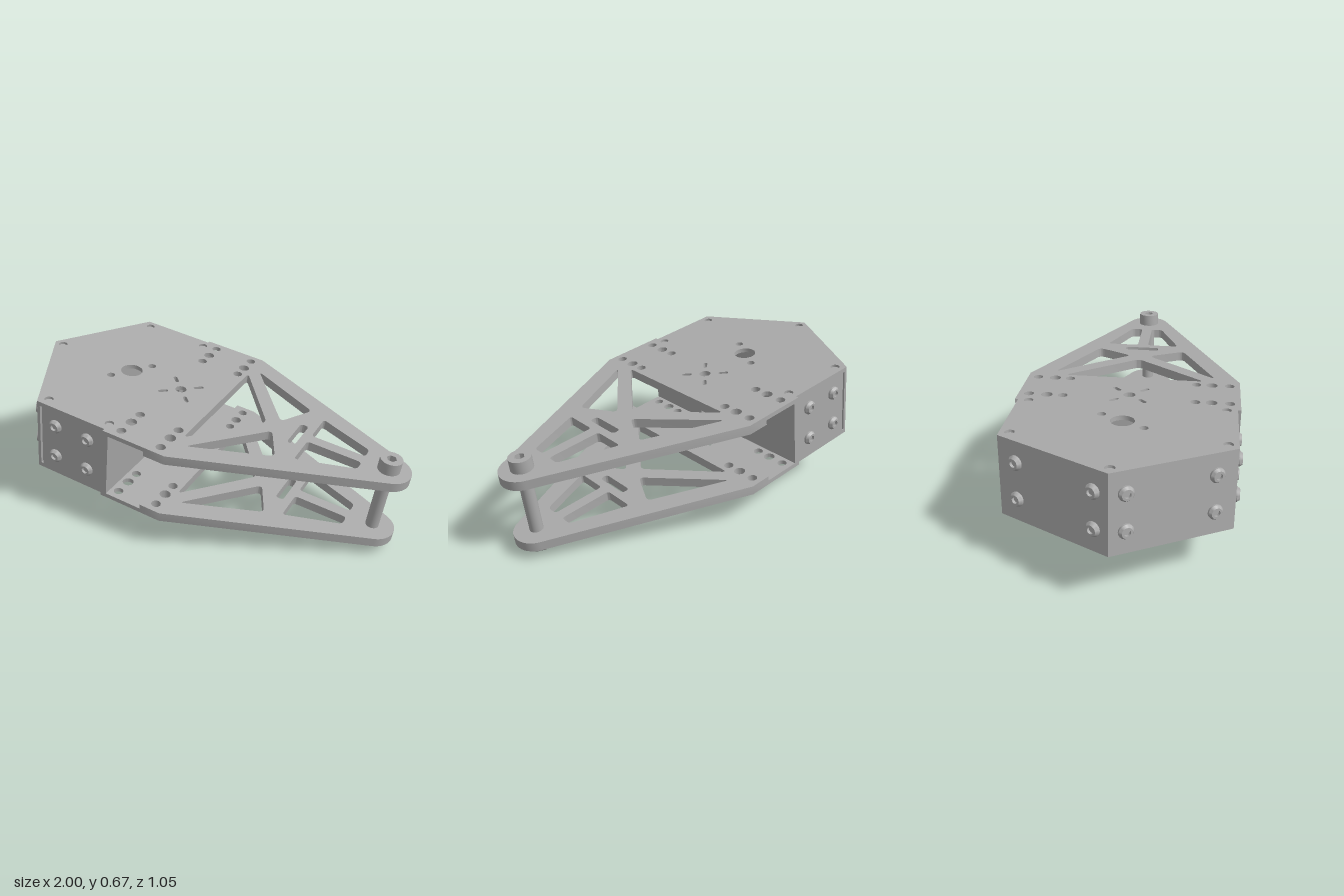
import * as THREE from 'three';
import { toCreasedNormals } from 'three/addons/utils/BufferGeometryUtils.js';

const H = 0.383;      // overall body height
const SKIN = 0.022;   // thin plate thickness
const ARM = 0.046;    // arm plate thickness
const STEP = -0.135;  // where the thin plate becomes the arm
const BACK = -1.0075, CORNER = -0.735, HALF = 0.505, WIDE = 0.52;
const TILT = -7 * Math.PI / 180;
const TIP = 0.852;

const shapeOf = pts => new THREE.Shape(pts.map(p => new THREE.Vector2(...p)));

function circle(x, y, r) {
  return new THREE.Path().absarc(x, y, r, 0, Math.PI * 2, true);
}

// polygon with rounded corners
function rounded(pts, r) {
  const path = new THREE.Path();
  const v = pts.map(p => new THREE.Vector2(...p));
  v.forEach((p, i) => {
    const toward = q => p.clone().add(q.clone().sub(p).setLength(r));
    const a = toward(v[(i + v.length - 1) % v.length]);
    const b = toward(v[(i + 1) % v.length]);
    if (i === 0) path.moveTo(a.x, a.y); else path.lineTo(a.x, a.y);
    path.quadraticCurveTo(p.x, p.y, b.x, b.y);
  });
  path.closePath();
  return path;
}

function extrude(shape, depth) {
  const g = new THREE.ExtrudeGeometry(shape, { depth, bevelEnabled: false, curveSegments: 10 });
  return toCreasedNormals(g, 0.6);
}

// plan outline (length, width) turned into a slab whose top is at the given height
function slab(shape, top, depth) {
  return extrude(shape, depth).rotateX(Math.PI / 2).translate(0, top, 0);
}

function bodyPlateShape() {
  const s = shapeOf([[BACK, 0], [CORNER, -HALF], [-0.355, -HALF], [-0.355, -WIDE], [STEP, -WIDE],
    [STEP, WIDE], [-0.355, WIDE], [-0.355, HALF], [CORNER, HALF]]);
  s.holes.push(circle(-0.53, 0, 0.055), circle(-0.47, -0.1, 0.02), circle(-0.59, 0.1, 0.02),
    circle(-0.24, 0, 0.028), circle(-0.96, 0, 0.022));
  for (const m of [-1, 1]) {
    s.holes.push(circle(-0.285, m * 0.47, 0.023), circle(-0.285, m * 0.385, 0.027),
      circle(-0.285, m * 0.31, 0.023), circle(-0.7, m * 0.46, 0.022), circle(-0.36, m * 0.455, 0.022));
    // slanted slots around the small centre hole
    for (const n of [-1, 1]) {
      const cx = -0.24 + n * 0.065, cz = m * 0.066;
      const a = 0.018, b = 0.007;
      s.holes.push(rounded([[-a, -b], [a, -b], [a, b], [-a, b]].map(([p, q]) => {
        const k = m * n;
        return [cx + (p - q * k), cz + (p * k + q)];
      }), 0.011));
    }
  }
  return s;
}

function armShape() {
  const r = 0.107, px = -0.027 - TIP;
  const ang = Math.atan2(WIDE, px) - Math.acos(r / Math.hypot(px, WIDE));
  const s = new THREE.Shape();
  s.moveTo(STEP, -WIDE);
  s.lineTo(-0.027, -WIDE);
  s.absarc(TIP, 0, r, -ang, ang, false);
  s.lineTo(-0.027, WIDE);
  s.lineTo(STEP, WIDE);
  // truss openings
  s.holes.push(rounded([[-0.03, -0.345], [0.235, 0], [-0.03, 0.345]], 0.03));
  s.holes.push(rounded([[0.38, -0.088], [0.42, -0.088], [0.42, 0.088], [0.38, 0.088]], 0.018));
  for (const m of [-1, 1]) {
    s.holes.push(rounded([[0.01, m * 0.4], [0.38, m * 0.225], [0.288, m * 0.05]], 0.03));
    s.holes.push(rounded([[0.46, m * 0.19], [0.73, m * 0.085], [0.73, m * 0.028], [0.46, m * 0.028]], 0.02));
    s.holes.push(circle(-0.075, m * 0.47, 0.023), circle(-0.075, m * 0.385, 0.027),
      circle(-0.075, m * 0.31, 0.023));
  }
  return s;
}

export function createModel() {
  const gray = new THREE.MeshStandardMaterial({ color: 0xaaaaaa });
  gray.name = 'machined gray';
  const model = new THREE.Group();
  model.name = 'bracket';
  const body = new THREE.Group();
  body.name = 'tiltedAssembly';
  body.rotation.z = TILT;
  body.position.y = 0.162;
  model.add(body);

  const add = (name, geo, parent = body) => {
    const m = new THREE.Mesh(geo, gray);
    m.name = name;
    parent.add(m);
    return m;
  };

  // upper and lower plates with their truss arms
  add('topPlate', slab(bodyPlateShape(), H, SKIN));
  add('bottomPlate', slab(bodyPlateShape(), SKIN, SKIN));
  add('topArm', slab(armShape(), H, ARM));
  add('bottomArm', slab(armShape(), ARM, ARM));

  // button head screw with a hexagonal socket
  const button = [[0.034, 0], [0.034, 0.009], [0.025, 0.021], [0.015, 0.021], [0.015, 0.008], [0, 0.008]];
  const screwGeo = toCreasedNormals(
    new THREE.LatheGeometry(button.map(p => new THREE.Vector2(...p)), 24), 0.5);
  const up = new THREE.Vector3(0, 1, 0);
  const slope = new THREE.Vector2(HALF, CORNER - BACK).normalize();

  const inner = H - 2 * SKIN;
  for (const m of [-1, 1]) {
    // hexagonal housing walls, with a narrow groove between panels
    add('backPanel', slab(shapeOf([[BACK, 0], [CORNER, m * HALF], [-0.72, m * HALF],
      [-0.72, m * 0.475], [BACK + 0.035, 0]]), H - SKIN, inner));
    add('sidePanel', slab(shapeOf([[-0.708, m * HALF], [-0.355, m * HALF], [-0.355, m * 0.475],
      [-0.708, m * 0.475]]), H - SKIN, inner));

    // panel screws
    for (const v of [0.108, 0.282]) {
      for (const u of [-0.628, -0.447]) {
        const s = add('sideScrew', screwGeo);
        s.position.set(u, v, m * HALF);
        s.quaternion.setFromUnitVectors(up, new THREE.Vector3(0, 0, m));
      }
      for (const t of [0.13, 0.83]) {
        const s = add('backScrew', screwGeo);
        s.position.set(BACK + t * (CORNER - BACK), v, m * HALF * t);
        s.quaternion.setFromUnitVectors(up, new THREE.Vector3(-slope.x, 0, m * slope.y));
      }
    }

    // flat front wall with a small window
    const w = shapeOf([[m * 0.15, SKIN], [m * WIDE, SKIN], [m * WIDE, H - SKIN], [m * 0.15, H - SKIN]]);
    w.holes.push(rounded([[m * 0.172, 0.147], [m * 0.238, 0.147], [m * 0.238, 0.236],
      [m * 0.172, 0.236]], 0.015));
    add('frontWall', extrude(w, 0.03).rotateY(Math.PI / 2).translate(-0.355, 0, 0));
  }

  // curved recess in the middle of the front wall
  const recess = new THREE.Shape();
  recess.moveTo(-0.325, -0.15);
  recess.bezierCurveTo(-0.375, -0.15, -0.39, -0.13, -0.39, -0.09);
  recess.lineTo(-0.39, 0.09);
  recess.bezierCurveTo(-0.39, 0.13, -0.375, 0.15, -0.325, 0.15);
  recess.lineTo(-0.325, 0.18);
  recess.lineTo(-0.355, 0.18);
  recess.lineTo(-0.42, 0.13);
  recess.lineTo(-0.42, -0.13);
  recess.lineTo(-0.355, -0.18);
  recess.lineTo(-0.325, -0.18);
  // stop short of the windows
  recess.curves.forEach(c => ['v1', 'v2'].forEach(k => {
    if (c.isLineCurve && Math.abs(c[k].y) === 0.18) c[k].y = Math.sign(c[k].y) * 0.165;
  }));
  add('frontRecess', slab(recess, H - SKIN, inner));

  // corner posts sunk into the plates
  for (const [u, z] of [[-0.96, 0], [-0.7, 0.46], [-0.7, -0.46], [-0.36, 0.455], [-0.36, -0.455]]) {
    add('cornerPost', new THREE.CylinderGeometry(0.0215, 0.0215, H - 0.024, 16)
      .translate(u, H / 2, z));
  }

  // bolt joining the arm tips
  const bolt = new THREE.Group();
  bolt.name = 'tipBolt';
  bolt.position.x = TIP;
  body.add(bolt);
  add('boltShaft', new THREE.CylinderGeometry(0.032, 0.032, H, 28).translate(0, H / 2, 0), bolt);
  const head = new THREE.Shape().absarc(0, 0, 0.053, 0, Math.PI * 2, false);
  head.holes.push(rounded([0, 1, 2, 3, 4, 5].map(i =>
    [0.024 * Math.cos(i * Math.PI / 3), 0.024 * Math.sin(i * Math.PI / 3)]), 0.002));
  add('boltHead', slab(head, H + 0.06, 0.06), bolt);
  add('boltSocketFloor', new THREE.CylinderGeometry(0.03, 0.03, 0.025, 20).translate(0, H + 0.0125, 0), bolt);
  add('nut', toCreasedNormals(new THREE.CylinderGeometry(0.055, 0.055, 0.045, 6), 0.3)
    .translate(0, -0.0225, 0), bolt);
  add('nutChamfer', toCreasedNormals(new THREE.CylinderGeometry(0.055, 0.046, 0.011, 6), 0.3)
    .translate(0, -0.0505, 0), bolt);
  return model;
}
